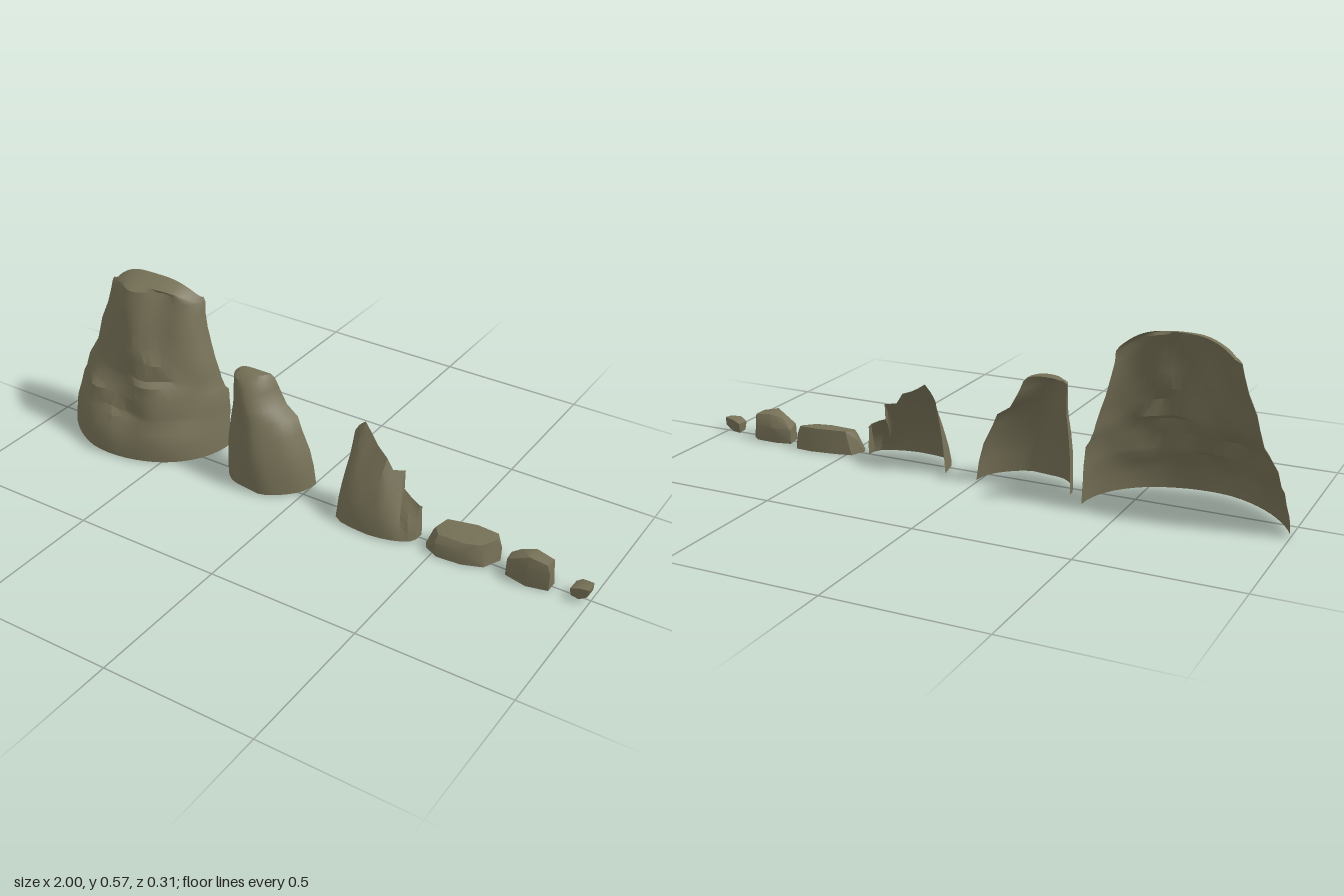
import * as THREE from 'three';
import { mergeVertices, toCreasedNormals } from 'three/addons/utils/BufferGeometryUtils.js';
import { ConvexGeometry } from 'three/addons/geometries/ConvexGeometry.js';

const lerp = THREE.MathUtils.lerp;

// Surface through a grid of points: rows run upward, columns run from -x to +x
function gridGeometry(rows) {
  const cols = rows[0].length, index = [];
  for (let r = 0; r < rows.length - 1; r++) {
    for (let c = 0; c < cols - 1; c++) {
      const a = r * cols + c, d = a + cols;
      index.push(a, a + 1, d, a + 1, d + 1, d);
    }
  }
  const g = new THREE.BufferGeometry();
  g.setAttribute('position', new THREE.Float32BufferAttribute(rows.flat(2), 3));
  g.setIndex(index);
  return toCreasedNormals(g, 0.6);
}

// Half-round cliff shell, open at the back.
// Each section: [y, left x, right x, left z, right z, front z, drop at the sides]
function cliffGeometry(sections, cols, leftPow, rightPow, relief) {
  return gridGeometry(sections.map(([y, xl, xr, zl, zr, zf, drop = 0]) => {
    const row = [];
    for (let c = 0; c <= cols; c++) {
      const t = c / cols, k = -Math.cos(Math.PI * t);
      const bulge = Math.pow(Math.max(0, Math.sin(Math.PI * t)), t < 0.5 ? leftPow : rightPow);
      const x = lerp(xl, xr, (k + 1) / 2), back = lerp(zl, zr, t);
      const z = lerp(back, zf, bulge) + relief(x, y, t) * bulge;
      row.push([x, y - drop * Math.abs(k) ** 3, z]);
    }
    return row;
  }));
}

// Shallow ledge: rock sticks out below height y0 and fades downward
function ledge(x, y, x0, width, y0, depth) {
  const side = Math.max(0, 1 - Math.abs(x - x0) / width);
  return y <= y0 && y > y0 - 0.12 ? depth * side * (1 - (y0 - y) / 0.12) : 0;
}

export function createModel() {
  const model = new THREE.Group();
  const stone = new THREE.MeshStandardMaterial({ color: 0x757056, side: THREE.DoubleSide });
  stone.name = 'olive stone';

  function add(name, geometry) {
    const mesh = new THREE.Mesh(geometry, stone);
    mesh.name = name;
    model.add(mesh);
  }

  // Largest cliff, leaning back, with ledges and a flat sloping top
  add('largeCliff', cliffGeometry([
    [0.005, -1.0, -0.37, -0.09, -0.115, 0.155],
    [0.06, -0.995, -0.374, -0.09, -0.12, 0.15],
    [0.1, -0.985, -0.38, -0.095, -0.13, 0.132],
    [0.135, -0.98, -0.384, -0.1, -0.14, 0.108],
    [0.15, -0.97, -0.386, -0.1, -0.14, 0.1],
    [0.2, -0.96, -0.392, -0.11, -0.145, 0.085],
    [0.215, -0.95, -0.4, -0.11, -0.135, 0.075],
    [0.25, -0.93, -0.412, -0.115, -0.13, 0.06],
    [0.265, -0.92, -0.415, -0.12, -0.13, 0.055],
    [0.32, -0.905, -0.43, -0.125, -0.125, 0.048],
    [0.36, -0.895, -0.445, -0.125, -0.13, 0.04],
    [0.42, -0.87, -0.46, -0.13, -0.13, 0.024],
    [0.47, -0.855, -0.475, -0.13, -0.14, 0.01],
    [0.515, -0.845, -0.48, -0.125, -0.148, -0.008, 0.01],
    [0.545, -0.83, -0.485, -0.12, -0.15, -0.02, 0.035],
    [0.555, -0.82, -0.488, -0.12, -0.15, -0.04, 0.04],
    [0.572, -0.82, -0.488, -0.12, -0.15, -0.115, 0.055],
  ], 28, 1.5, 0.95, (x, y, t) => {
    if (y > 0.55) return 0;
    const body = Math.min(1, y / 0.1);
    return body * (0.009 * Math.sin(23 * x + 9 * y) + 0.006 * Math.sin(47 * x - 31 * y))
      - (y > 0.33 ? 0.022 * Math.exp(-(((x + 0.57) / 0.045) ** 2)) : 0)
      + ledge(x, y, -0.55, 0.11, 0.25, 0.028)
      + ledge(x, y, -0.68, 0.07, 0.135, 0.02)
      + ledge(x, y, -0.8, 0.08, 0.2, 0.02);
  }));

  // Middle cliff, sloping off toward +x, with a small top
  add('middleCliff', cliffGeometry([
    [0.005, -0.31, 0.005, -0.06, -0.07, 0.08],
    [0.07, -0.308, -0.004, -0.06, -0.07, 0.078],
    [0.13, -0.306, -0.02, -0.058, -0.07, 0.07],
    [0.19, -0.3, -0.05, -0.056, -0.072, 0.055],
    [0.235, -0.294, -0.07, -0.055, -0.076, 0.042],
    [0.265, -0.29, -0.115, -0.053, -0.08, 0.033],
    [0.32, -0.29, -0.145, -0.052, -0.08, 0.02],
    [0.352, -0.29, -0.157, -0.052, -0.075, 0.005],
    [0.37, -0.275, -0.17, -0.055, -0.07, -0.025, 0.004],
    [0.37, -0.275, -0.17, -0.058, -0.075, -0.062, 0.006],
  ], 16, 1.0, 1.0, (x, y) => (y < 0.35 ? 0.005 * Math.sin(45 * x + 14 * y) : 0)));

  // Broken cliff with a stepped upper edge: [base x, base z, top x, top y, top z]
  const columns = [
    [0.12, -0.06, 0.14, 0.25, -0.085], [0.135, 0.01, 0.155, 0.275, -0.085],
    [0.155, 0.05, 0.18, 0.298, -0.08], [0.185, 0.068, 0.215, 0.275, -0.062],
    [0.23, 0.076, 0.25, 0.255, -0.04], [0.29, 0.08, 0.295, 0.235, -0.02],
    [0.33, 0.075, 0.317, 0.2, -0.02], [0.365, 0.066, 0.35, 0.198, -0.04],
    [0.39, 0.056, 0.357, 0.142, -0.025], [0.415, 0.042, 0.385, 0.13, -0.015],
    [0.428, 0.02, 0.42, 0.112, -0.01], [0.43, -0.012, 0.424, 0.105, -0.02],
  ];
  const brokenRows = [];
  for (let i = 0; i <= 6; i++) {
    const s = i / 6;
    brokenRows.push(columns.map(([xb, zb, xt, yt, zt], c) => [
      lerp(xb, xt, s), lerp(0.005, yt, s),
      lerp(zb, zt, Math.pow(s, 1.6)) + 0.004 * Math.sin(Math.PI * s) * Math.sin(c * 2.1 + s * 3),
    ]));
  }
  add('brokenCliff', gridGeometry(brokenRows));

  // Closed boulders, each a convex hull of a few corners
  function boulder(name, points) {
    const hull = new ConvexGeometry(points.map((p) => new THREE.Vector3(...p)));
    hull.deleteAttribute('normal');
    add(name, toCreasedNormals(mergeVertices(hull, 1e-4), 0.55));
  }

  boulder('flatBoulder', [
    [0.46, 0.003, 0.012], [0.48, 0.003, -0.04], [0.53, 0.003, -0.052], [0.62, 0.003, -0.065],
    [0.68, 0.003, -0.062], [0.693, 0.003, -0.03], [0.665, 0.003, 0.03], [0.6, 0.003, 0.055],
    [0.52, 0.003, 0.06], [0.472, 0.003, 0.035],
    [0.472, 0.045, -0.01], [0.69, 0.045, -0.04], [0.6, 0.045, 0.05], [0.51, 0.045, 0.052],
    [0.487, 0.068, 0.005], [0.505, 0.08, -0.035], [0.6, 0.082, -0.055], [0.67, 0.08, -0.052],
    [0.678, 0.075, -0.03], [0.65, 0.07, 0.018], [0.6, 0.068, 0.034], [0.51, 0.066, 0.034],
  ]);

  boulder('smallBoulder', [
    [0.725, 0.002, -0.03], [0.78, 0.002, -0.042], [0.85, 0.002, -0.04], [0.876, 0.002, -0.02],
    [0.876, 0.002, 0.026], [0.81, 0.002, 0.042], [0.735, 0.002, 0.025],
    [0.727, 0.05, -0.028], [0.735, 0.058, 0.02], [0.79, 0.055, -0.045], [0.855, 0.06, -0.038],
    [0.876, 0.06, 0.024], [0.81, 0.065, 0.043],
    [0.765, 0.085, -0.015], [0.81, 0.1, 0.03], [0.865, 0.088, 0.022], [0.868, 0.085, -0.02],
    [0.81, 0.095, -0.026],
  ]);

  boulder('pebble', [
    [0.945, 0.003, -0.012], [0.942, 0.008, 0.015], [0.965, 0.002, 0.0], [0.94, 0.036, 0.022],
    [0.942, 0.038, -0.02], [0.96, 0.05, -0.024], [0.965, 0.05, 0.025], [0.998, 0.055, -0.018],
    [1.0, 0.05, 0.018], [0.996, 0.028, -0.018], [0.994, 0.025, 0.02], [0.97, 0.01, 0.022],
    [0.968, 0.01, -0.02],
  ]);

  return model;
}
